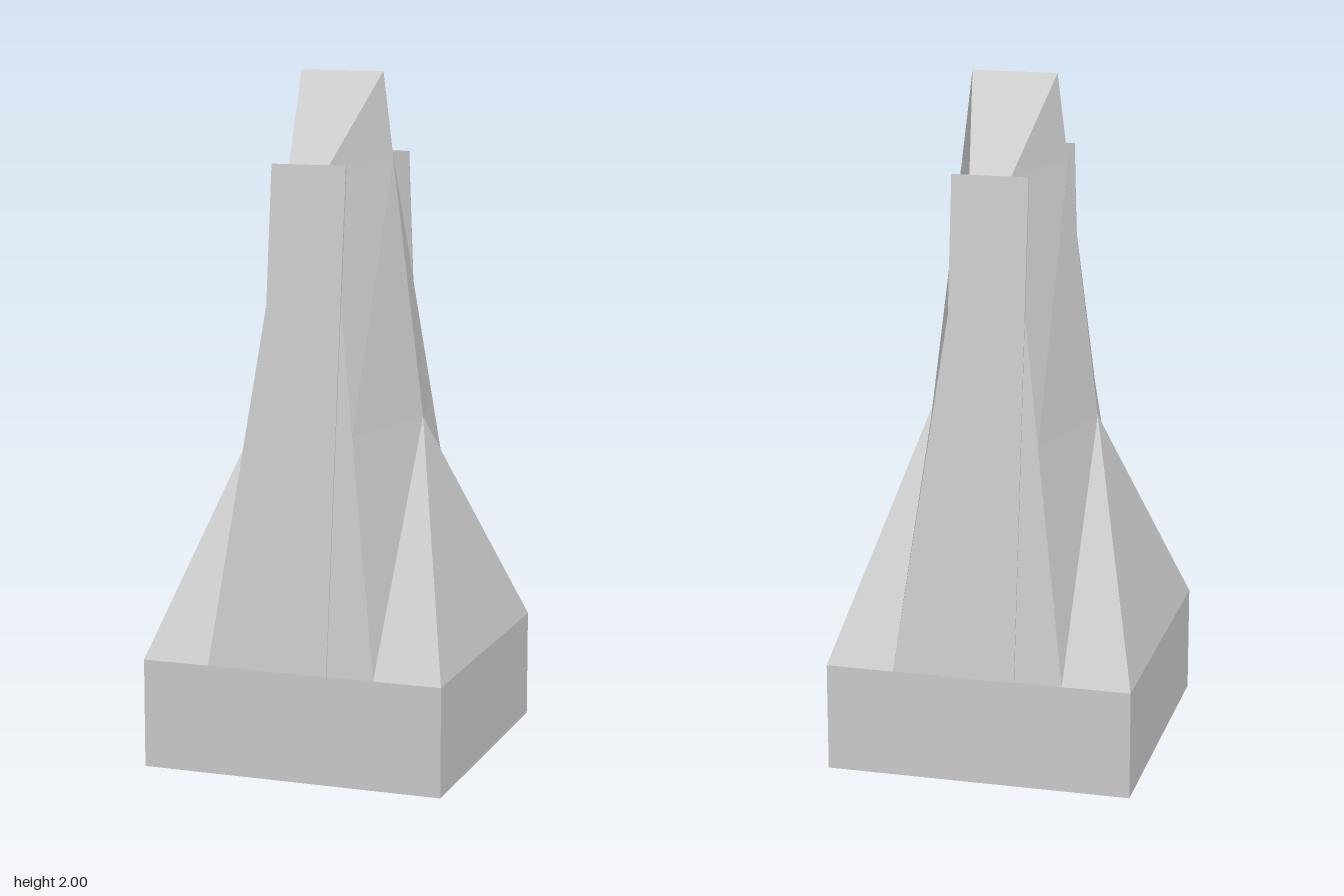
import * as THREE from 'three';

const material = new THREE.MeshStandardMaterial({ color: 0xcccccc, flatShading: true, side: THREE.DoubleSide });

// Mirrors convex polygons of the +x +z quarter into all four quarters
function quarterMesh(name, polygons) {
  const pos = [];
  for (const sx of [1, -1]) for (const sz of [1, -1]) {
    for (const poly of polygons) {
      for (let i = 1; i < poly.length - 1; i++) {
        const tri = [poly[0], poly[i], poly[i + 1]];
        if (sx * sz < 0) tri.reverse();
        for (const [x, y, z] of tri) pos.push(x * sx, y, z * sz);
      }
    }
  }
  const geo = new THREE.BufferGeometry();
  geo.setAttribute('position', new THREE.Float32BufferAttribute(pos, 3));
  geo.computeVertexNormals();
  const mesh = new THREE.Mesh(geo, material);
  mesh.name = name;
  return mesh;
}

export function createModel() {
  const group = new THREE.Group();
  group.name = 'tower';

  // Square plinth
  const baseY = 0.32, half = 0.448;
  const base = new THREE.Mesh(new THREE.BoxGeometry(0.9, baseY, half * 2), material);
  base.position.y = baseY / 2;
  base.name = 'base';
  group.add(base);

  // Key corners of one quarter
  const foot = [0.25, baseY, half];
  const corner = [0.45, baseY, half];
  const apex = [0.25, 1.0, 0];
  const frontMid = [0.16, 1.0, 0.367];
  const frontTop = [0.06, 1.75, 0.28];
  const sideTop = [0.156, 1.75, 0];
  const ridge = [0.125, 2, 0];
  const onAxis = ([, y, z]) => [0, y, z];

  // Sloping front and back faces
  group.add(quarterMesh('bodyFaces', [[onAxis(foot), foot, frontTop, onAxis(frontTop)]]));

  // Creased flanks
  group.add(quarterMesh('flanks', [
    [frontTop, sideTop, ridge],
    [frontMid, sideTop, frontTop],
    [frontMid, apex, sideTop],
    [foot, apex, frontMid],
  ]));

  // Gabled roof
  group.add(quarterMesh('roof', [[onAxis(frontTop), frontTop, ridge, onAxis(ridge)]]));

  // Pyramid-like side buttresses
  group.add(quarterMesh('buttresses', [
    [corner, [0.45, baseY, 0], apex],
    [foot, corner, apex],
  ]));

  // Thin leaning slabs on the front and back
  const rise = 1.75 - baseY, run = half - 0.28;
  for (const s of [1, -1]) {
    const slab = new THREE.Mesh(new THREE.BoxGeometry(0.222, Math.hypot(rise, run), 0.006), material);
    slab.position.set(0, (1.75 + baseY) / 2, s * ((half + 0.28) / 2 + 0.001));
    slab.rotation.x = -s * Math.atan2(run, rise);
    slab.name = s > 0 ? 'frontSlab' : 'backSlab';
    group.add(slab);
  }
  return group;
}
